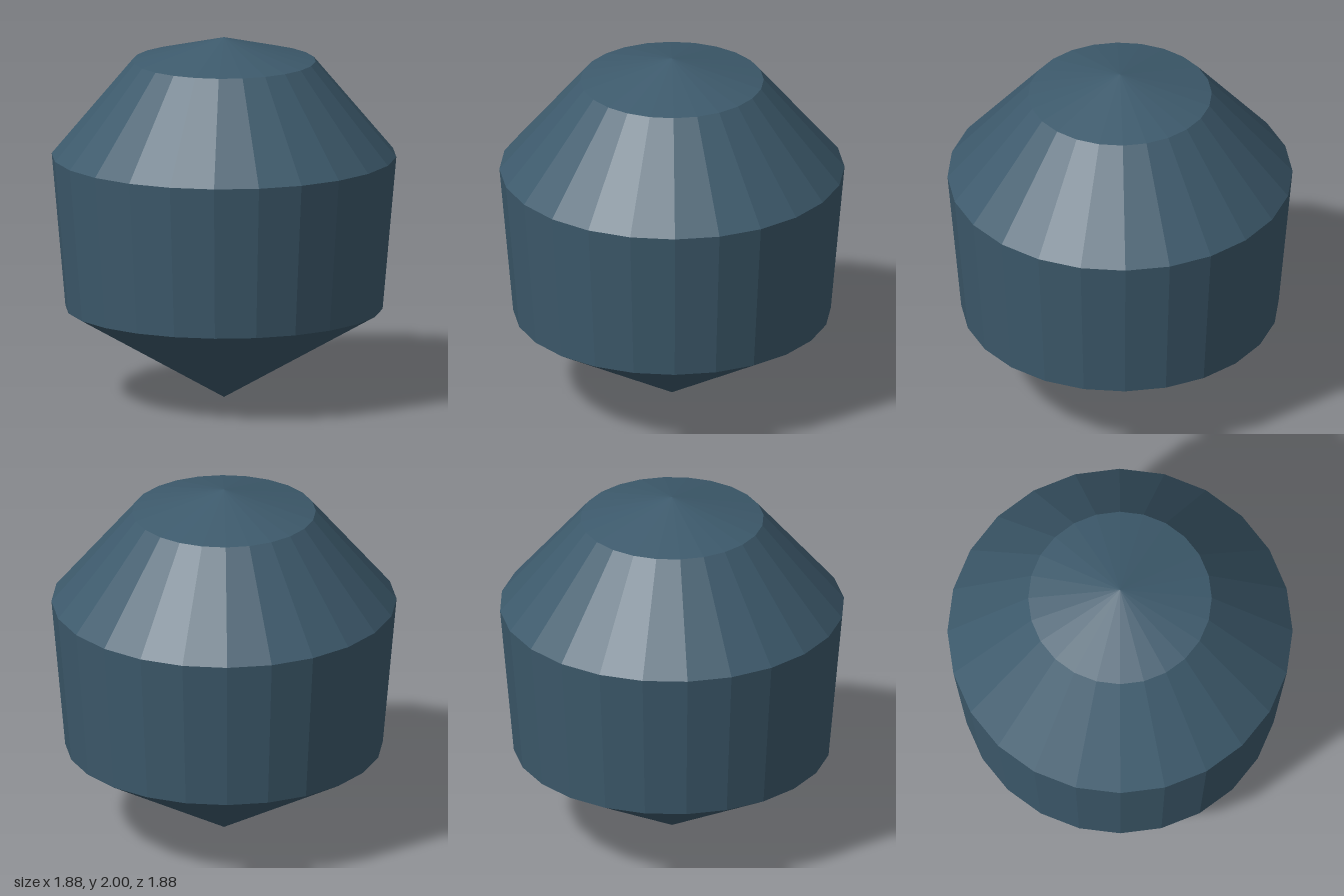
import * as THREE from 'three';

const SIDES = 24;

export function createModel() {
  const group = new THREE.Group();
  group.name = 'facetedCapsule';
  const material = new THREE.MeshStandardMaterial({ color: 0x3d5a6c, flatShading: true });

  // Stacked conical bands: name, bottom radius, top radius, bottom y, top y
  const bands = [
    ['pointedBase', 0, 0.865, 0, 0.5],
    ['body', 0.865, 0.94, 0.5, 1.345],
    ['shoulder', 0.94, 0.5, 1.345, 1.87],
    ['cap', 0.5, 0, 1.87, 2],
  ];
  for (const [name, r0, r1, y0, y1] of bands) {
    const geometry = new THREE.CylinderGeometry(r1, r0, y1 - y0, SIDES, 1, true);
    const band = new THREE.Mesh(geometry, material);
    band.name = name;
    band.position.y = (y0 + y1) / 2;
    group.add(band);
  }
  return group;
}
